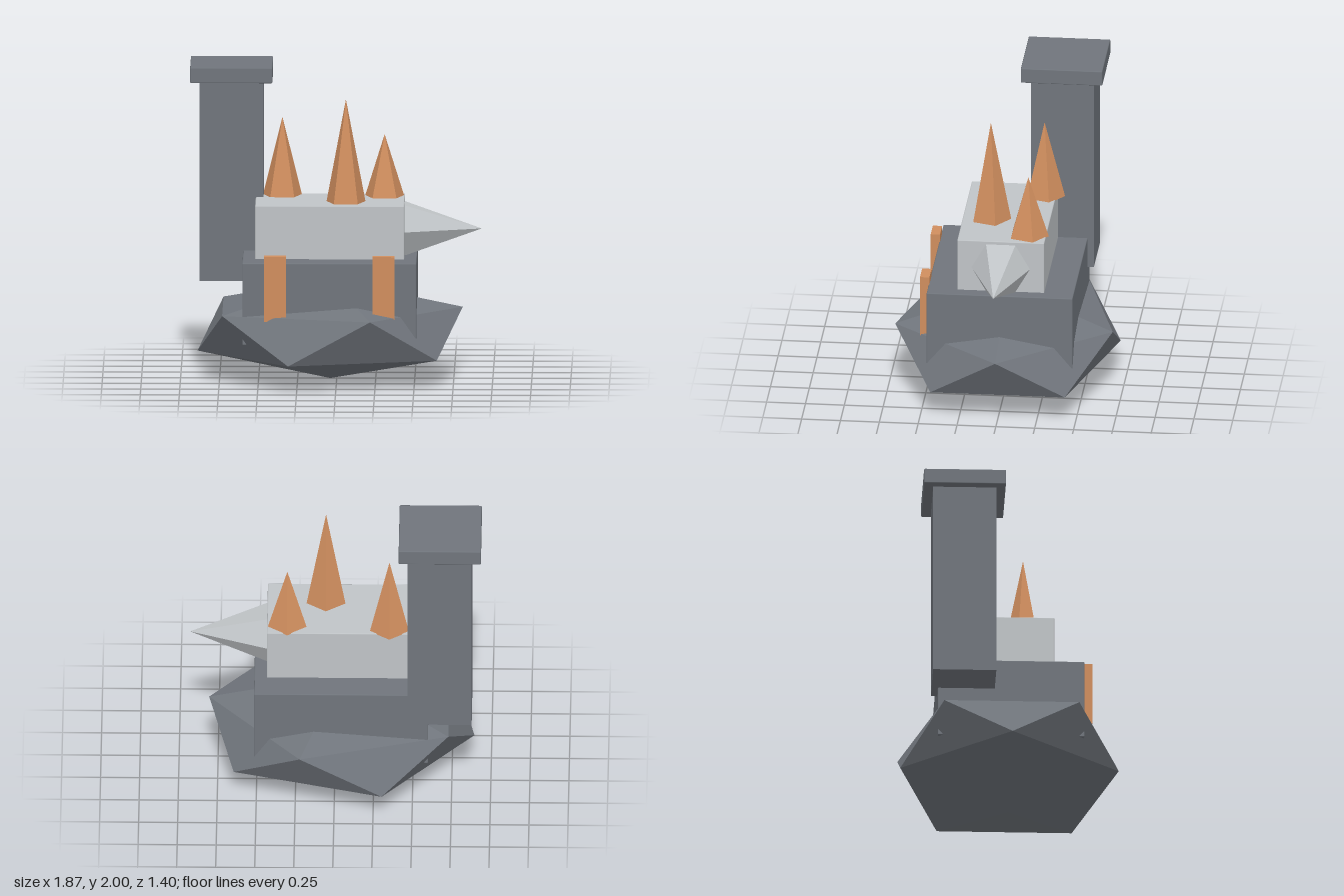
import * as THREE from 'three';
import { RoundedBoxGeometry } from 'three/addons/geometries/RoundedBoxGeometry.js';

export function createModel() {
  const model = new THREE.Group();
  const material = (name, color) => {
    const m = new THREE.MeshStandardMaterial({ color });
    m.name = name;
    return m;
  };
  const stone = material('dark stone', 0x70757c);
  const steel = material('pale steel', 0xc0c4c7);
  const copper = material('copper', 0xd08e5e);

  const add = (name, geometry, mat) => {
    const mesh = new THREE.Mesh(geometry, mat);
    mesh.name = name;
    model.add(mesh);
    return mesh;
  };

  // Box given by its limits, optionally with a fine bevel
  const addBox = (name, mat, [x0, x1], [y0, y1], [z0, z1], bevel = 0) => {
    const size = [x1 - x0, y1 - y0, z1 - z0];
    const geometry = bevel
      ? new RoundedBoxGeometry(...size, 1, bevel)
      : new THREE.BoxGeometry(...size);
    add(name, geometry, mat).position.set((x0 + x1) / 2, (y0 + y1) / 2, (z0 + z1) / 2);
  };

  // Faceted cone with hard edges
  const facetedCone = (radius, height, sides) => {
    const geometry = new THREE.ConeGeometry(radius, height, sides).toNonIndexed();
    geometry.computeVertexNormals();
    return geometry;
  };

  // Rock: squashed icosahedron standing on one vertex
  const rock = new THREE.IcosahedronGeometry(1, 0);
  rock.rotateZ(-Math.atan(2 / (1 + Math.sqrt(5))));
  rock.scale(0.95, 0.32, 0.823).translate(-0.042, 0.32, 0);
  add('rock', rock, stone);

  // Plinth and anvil body
  addBox('plinth', stone, [-0.6, 0.515], [0.28, 0.81], [-0.47, 0.47], 0.006);
  addBox('body', steel, [-0.52, 0.435], [0.8, 1.155], [-0.28, 0.28], 0.006);

  // Horn pointing to +x
  const horn = facetedCone(0.19, 0.5, 6).rotateZ(-Math.PI / 2);
  add('horn', horn, steel).position.set(0.68, 0.97, 0);

  // Spikes on the body: x, z, tip height
  for (const [x, z, tip] of [[-0.35, -0.205, 1.66], [0.06, 0.1, 1.82], [0.305, -0.165, 1.555]]) {
    const height = tip - 1.15;
    const spike = facetedCone(0.132, height, 5).rotateY(Math.PI);
    add('spike', spike, copper).position.set(x, 1.15 + height / 2, z);
  }

  // Straps on the front of the plinth
  for (const x of [-0.46, 0.235]) {
    addBox('strap', copper, [x, x + 0.14], [0.44, 0.86], [0.465, 0.525]);
  }

  // Chimney and cap
  addBox('chimney', stone, [-0.88, -0.47], [0.61, 1.91], [-0.51, -0.105]);
  addBox('chimneyCap', stone, [-0.94, -0.413], [1.9, 2], [-0.57, -0.045], 0.006);

  return model;
}
